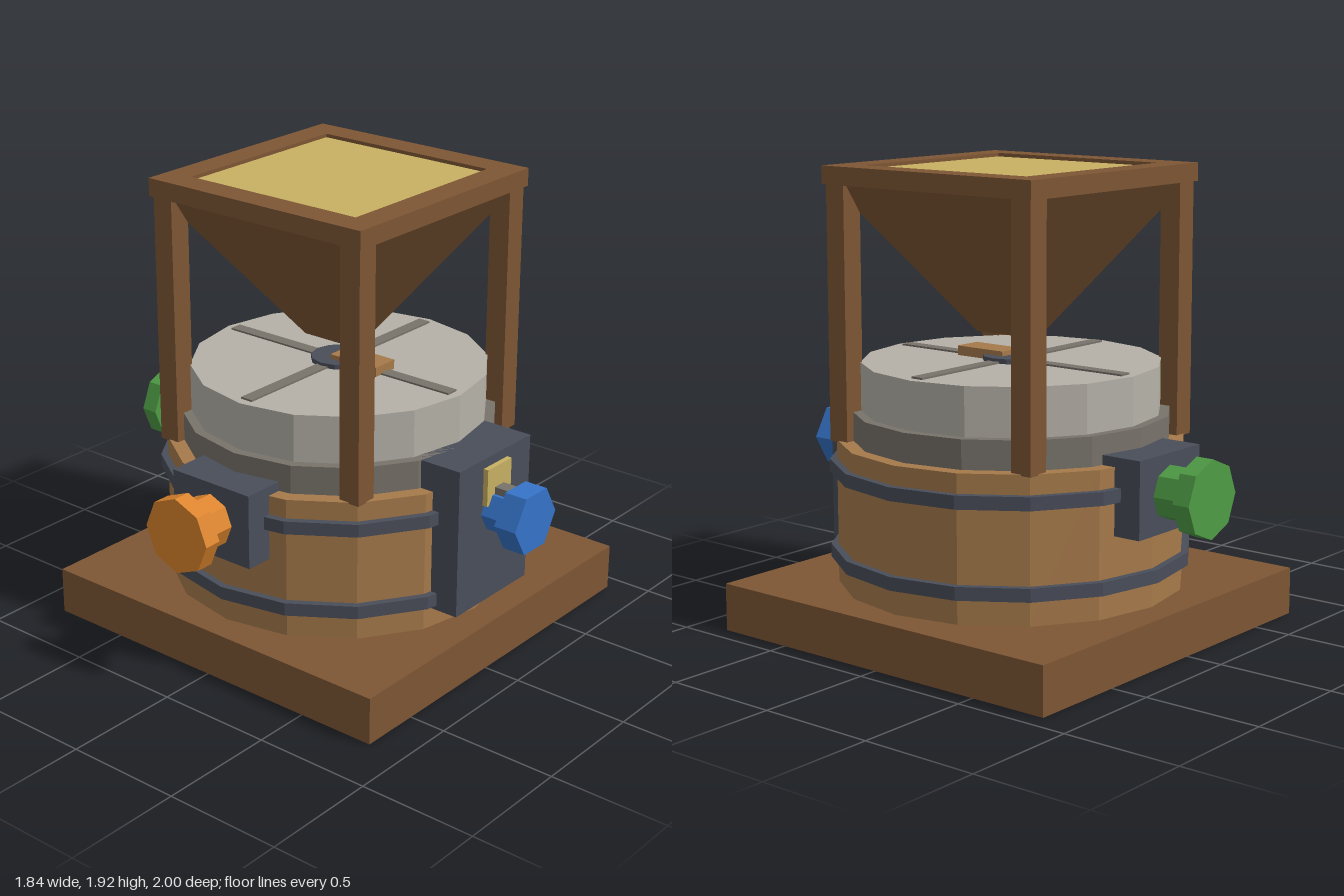
import * as THREE from 'three';

const mat = (name, color) => {
  const m = new THREE.MeshStandardMaterial({ color, flatShading: true });
  m.name = name;
  return m;
};

export function createModel() {
  const timber = mat('dark timber', 0x7d5534);
  const stave = mat('light wood', 0xa67a4a);
  const stone = mat('pale stone', 0xb5b1a8);
  const darkStone = mat('dark stone', 0x78736b);
  const iron = mat('slate iron', 0x4a4e5a);
  const blue = mat('blue', 0x3573c8);
  const green = mat('green', 0x4f9c46);
  const orange = mat('orange', 0xdc842c);
  const grain = mat('grain yellow', 0xc8b062);

  const model = new THREE.Group();
  model.name = 'grainMill';
  // everything is arranged around the axis of the mill
  const mill = new THREE.Group();
  mill.name = 'millBody';
  mill.position.x = 0.08;
  model.add(mill);

  const add = (name, geometry, material, x = 0, y = 0, z = 0, parent = mill) => {
    const m = new THREE.Mesh(geometry, material);
    m.name = name;
    m.position.set(x, y, z);
    parent.add(m);
    return m;
  };
  const box = (name, material, w, h, d, x, y, z) =>
    add(name, new THREE.BoxGeometry(w, h, d), material, x, y, z);
  const drum = (name, material, r, y0, y1, sides = 16) =>
    add(name, new THREE.CylinderGeometry(r, r, y1 - y0, sides), material, 0, (y0 + y1) / 2, 0);

  // base and tub
  box('base', timber, 1.68, 0.2, 1.68, 0, 0.1, 0);
  drum('tub', stave, 0.72, 0.2, 0.8);
  drum('lowerHoop', iron, 0.75, 0.305, 0.36);
  drum('upperHoop', iron, 0.75, 0.665, 0.72);

  // millstones
  drum('bedStone', darkStone, 0.66, 0.8, 0.92);
  drum('runnerStone', stone, 0.62, 0.92, 1.12);
  box('stoneGrooveAcross', darkStone, 1.16, 0.02, 0.055, 0, 1.118, 0);
  box('stoneGrooveAlong', darkStone, 0.055, 0.02, 1.16, 0, 1.1175, 0);
  drum('stoneHub', iron, 0.12, 1.12, 1.14, 12);
  box('stoneHandle', stave, 0.12, 0.04, 0.24, 0, 1.14, 0.12);

  // hopper stand
  for (const sx of [-1, 1])
    for (const sz of [-1, 1])
      box('post', timber, 0.095, 1.06, 0.095, sx * 0.48, 1.325, sz * 0.48);

  const square = (Path, h) => {
    const p = new Path();
    p.moveTo(-h, -h);
    p.lineTo(h, -h);
    p.lineTo(h, h);
    p.lineTo(-h, h);
    p.closePath();
    return p;
  };
  const rim = square(THREE.Shape, 0.54);
  rim.holes.push(square(THREE.Path, 0.42));
  const rimGeo = new THREE.ExtrudeGeometry(rim, { depth: 0.075, bevelEnabled: false });
  rimGeo.rotateX(-Math.PI / 2);
  add('hopperFrame', rimGeo, timber, 0, 1.845, 0);

  const funnel = new THREE.CylinderGeometry(0.515 * Math.SQRT2, 0.1 * Math.SQRT2, 0.61, 4);
  funnel.rotateY(Math.PI / 4);
  add('hopper', funnel, timber, 0, 1.545, 0);
  box('grain', grain, 0.84, 0.05, 0.84, 0, 1.88, 0);

  // bearing blocks
  box('frontBlock', iron, 0.48, 0.635, 0.24, 0, 0.6025, 0.68);
  box('backBlock', iron, 0.4, 0.315, 0.24, 0, 0.6825, -0.68);
  box('leftBlock', iron, 0.24, 0.315, 0.4, -0.68, 0.6825, 0);

  // stubs with a wide cap, pointing outward along +z before turning
  const stub = (name, material, sides, turn, shaftR, shaftEnd, capR) => {
    const g = new THREE.Group();
    g.name = name;
    g.position.y = 0.682;
    g.rotation.y = turn;
    mill.add(g);
    const piece = (part, r, z0, z1) => {
      const geo = new THREE.CylinderGeometry(r, r, z1 - z0, sides, 1, false, Math.PI / 2);
      geo.rotateX(Math.PI / 2);
      add(part, geo, material, 0, 0, (z0 + z1) / 2, g);
    };
    piece('shaft', shaftR, 0.78, shaftEnd);
    piece('cap', capR, shaftEnd, 1);
  };
  stub('frontStub', blue, 6, 0, 0.09, 0.9, 0.14);
  stub('backStub', green, 8, Math.PI, 0.11, 0.925, 0.16);
  stub('sideStub', orange, 8, -Math.PI / 2, 0.11, 0.925, 0.16);

  // gauge plate and key over the front shaft
  box('gaugePlate', grain, 0.16, 0.16, 0.03, 0, 0.8, 0.807);
  box('shaftKey', darkStone, 0.06, 0.06, 0.1, 0, 0.76, 0.85);

  return model;
}
